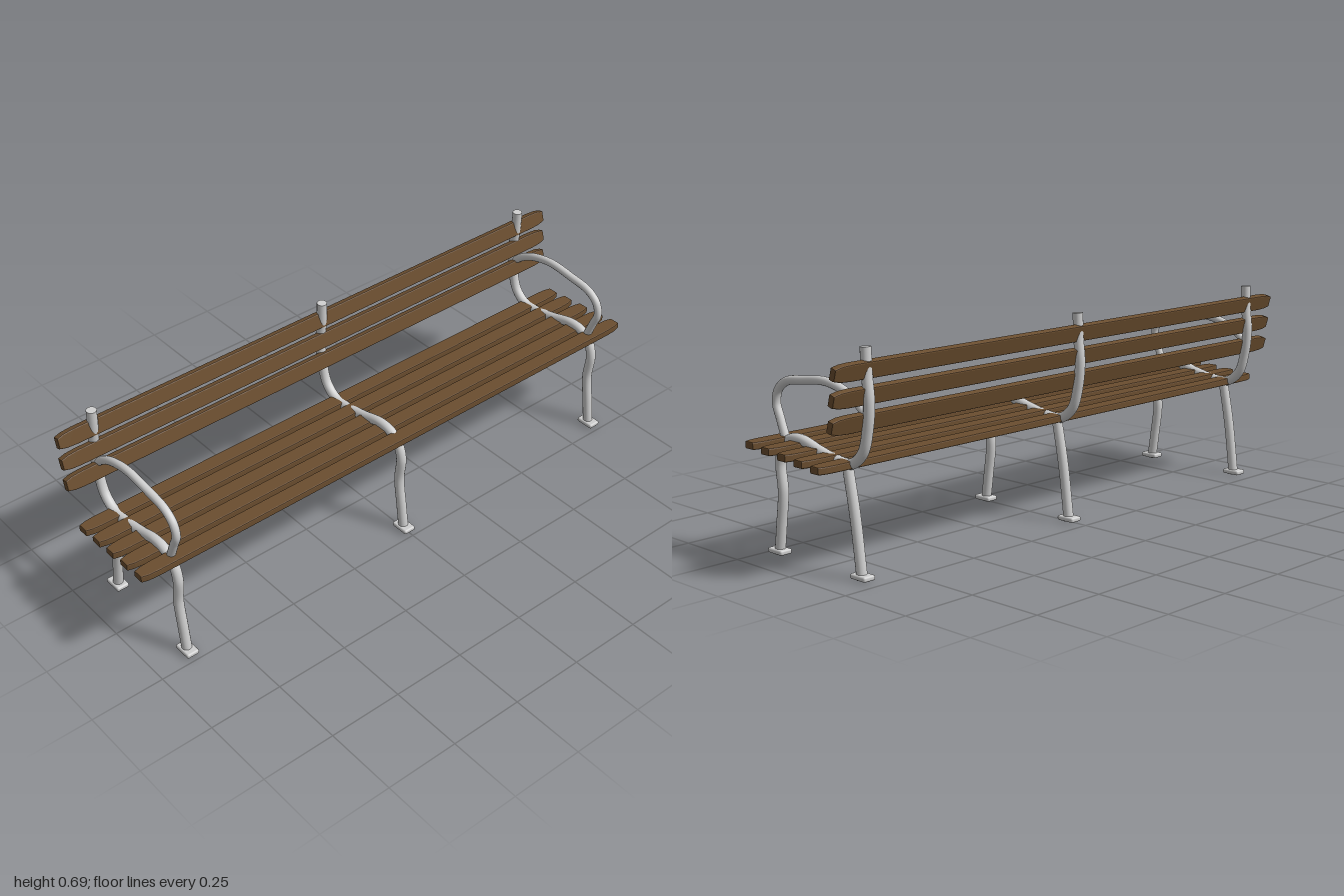
import * as THREE from 'three';
import { RoundedBoxGeometry } from 'three/addons/geometries/RoundedBoxGeometry.js';

const metal = new THREE.MeshStandardMaterial({ color: 0xd0d0d0 });
metal.name = 'painted steel';
const wood = new THREE.MeshStandardMaterial({ color: 0x6b4e2f });
wood.name = 'brown wood';

// Capped round tube through [z, y] points in the x = 0 plane
function makeTube(name, points, radius, segments) {
  const group = new THREE.Group();
  group.name = name;
  const curve = new THREE.CatmullRomCurve3(points.map(([z, y]) => new THREE.Vector3(0, y, z)));
  const tube = new THREE.Mesh(new THREE.TubeGeometry(curve, segments, radius, 16), metal);
  tube.name = name + 'Tube';
  group.add(tube);
  for (const t of [0, 1]) {
    const cap = new THREE.Mesh(new THREE.CircleGeometry(radius, 16), metal);
    const end = curve.getPointAt(t);
    const out = curve.getTangentAt(t).multiplyScalar(t ? 1 : -1);
    cap.name = name + 'Cap';
    cap.position.copy(end);
    cap.lookAt(end.clone().add(out));
    group.add(cap);
  }
  return group;
}

// Slat with tapered ends and softened edges, lying along x
function makeSlatGeometry(width, thickness) {
  const b = 0.004, L = 1 - b, w = width / 2 - b;
  const right = [[0.94, 1], [0.975, 0.9], [L, 0.65]];
  const outline = [
    ...right.map(([x, k]) => [x, -k * w]),
    ...right.map(([x, k]) => [x, k * w]).reverse(),
    ...right.map(([x, k]) => [-x, k * w]),
    ...right.map(([x, k]) => [-x, -k * w]).reverse(),
  ];
  const shape = new THREE.Shape(outline.map(([x, y]) => new THREE.Vector2(x, y)));
  const geometry = new THREE.ExtrudeGeometry(shape, {
    depth: thickness - 2 * b, bevelEnabled: true, bevelThickness: b, bevelSize: b, bevelSegments: 2,
  });
  return geometry.translate(0, 0, -(thickness - 2 * b) / 2);
}

// One bent steel frame: front leg, seat rail and back post in a single tube
function makeFrame(withArm) {
  const frame = new THREE.Group();
  frame.name = 'frame';
  frame.add(makeTube('legSeatAndBackPost', [
    [0.203, 0.003], [0.19, 0.1], [0.178, 0.2], [0.186, 0.29], [0.168, 0.342], [0.13, 0.369],
    [0.08, 0.373], [0.0, 0.353], [-0.07, 0.339], [-0.14, 0.338], [-0.19, 0.376],
    [-0.214, 0.45], [-0.222, 0.53], [-0.214, 0.61], [-0.211, 0.686],
  ], 0.0165, 120));
  frame.add(makeTube('backLeg', [[-0.122, 0.335], [-0.151, 0.19], [-0.177, 0.003]], 0.0165, 24));

  // Foot plates
  for (const z of [0.204, -0.178]) {
    const foot = new THREE.Mesh(new RoundedBoxGeometry(0.044, 0.016, 0.066, 2, 0.006), metal);
    foot.name = 'footPlate';
    foot.position.set(0, 0.012, z);
    frame.add(foot);
  }

  if (withArm) {
    frame.add(makeTube('armrest', [
      [0.158, 0.365], [0.182, 0.425], [0.198, 0.468], [0.187, 0.51], [0.147, 0.54], [0.065, 0.554],
      [-0.035, 0.563], [-0.116, 0.547], [-0.17, 0.521], [-0.212, 0.488],
    ], 0.0135, 80));
  }
  return frame;
}

export function createModel() {
  const bench = new THREE.Group();
  bench.name = 'bench';

  // Three frames, armrests on the outer two only
  for (const x of [-0.875, 0, 0.875]) {
    const frame = makeFrame(x !== 0);
    frame.position.x = x;
    bench.add(frame);
  }

  const slatGeometry = makeSlatGeometry(0.053, 0.0235);
  const addSlat = (name, z, y, tilt) => {
    const slat = new THREE.Mesh(slatGeometry, wood);
    slat.name = name;
    slat.position.set(0, y, z);
    slat.rotation.x = tilt;
    bench.add(slat);
  };

  // Seat slats, dropping slightly towards the back
  for (let i = 0; i < 5; i++) addSlat('seatSlat', 0.171 - 0.0745 * i, 0.363 - 0.00625 * i, -Math.PI / 2);

  // Backrest slats, leaning back
  for (let i = 0; i < 3; i++) addSlat('backSlat', -0.198 - 0.0085 * i, 0.471 + 0.0755 * i, -0.27);

  return bench;
}
